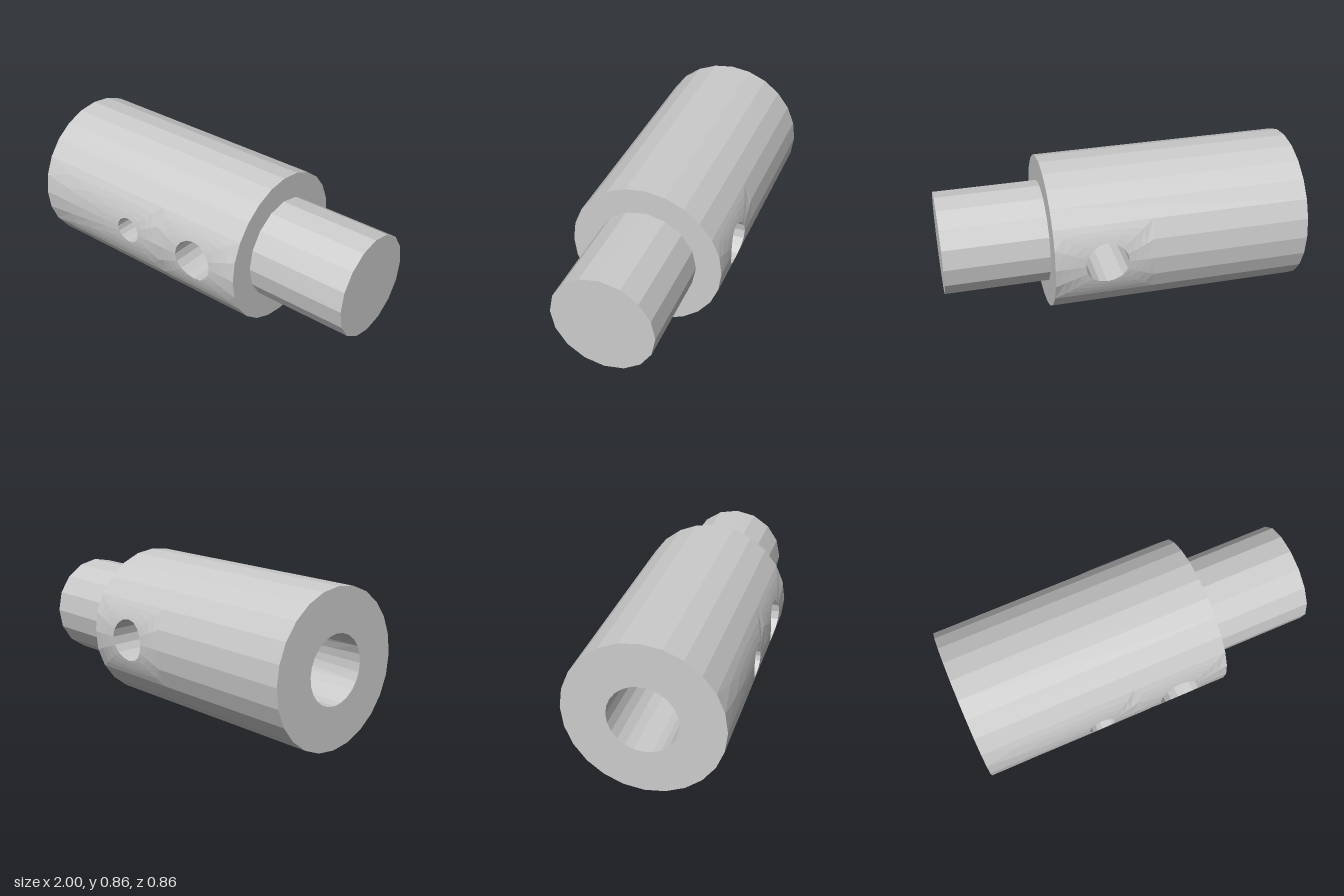
import * as THREE from 'three';

const R = 0.43, BORE = 0.19, SHAFT = 0.287;          // radii
const X0 = -1, SPLIT = -0.12, SHOULDER = 0.424, X1 = 1; // stations along the axis
const SEG = 4, N = SEG * 4;                           // patch segments per side, hole sides
const SECTOR = Math.PI / 6;                           // half angle covered by a drilled patch
const pinHole = { x: 0.14, r: 0.12 };
const screwHole = { x: -0.335, r: 0.077 };

const material = new THREE.MeshStandardMaterial({
  color: 0xcccccc, flatShading: true, side: THREE.DoubleSide,
});

// Skin between successive closed loops of points
function loft(loops) {
  const n = loops[0].length, index = [];
  for (let j = 0; j < loops.length - 1; j++) {
    for (let i = 0; i < n; i++) {
      const a = j * n + i, b = j * n + (i + 1) % n;
      index.push(a, a + n, b + n, a, b + n, b);
    }
  }
  const g = new THREE.BufferGeometry().setFromPoints(loops.flat());
  g.setIndex(index);
  g.computeVertexNormals();
  return g;
}

// Lift a flat outline onto the front of a cylinder
const wrap = (pts, radius) =>
  pts.map(p => new THREE.Vector3(p.x, p.y, Math.sqrt(Math.max(0, radius * radius - p.y * p.y))));

function holeOutline({ x, r }) {
  return Array.from({ length: N }, (_, i) => {
    const a = -Math.PI / 4 + (i / N) * Math.PI * 2;
    return new THREE.Vector2(x + r * Math.cos(a), r * Math.sin(a));
  });
}

// Border of a patch, with its ends divided like the cylinder facets
function border(xa, xb, radius) {
  return Array.from({ length: N }, (_, i) => {
    const side = Math.floor(i / SEG), t = (i % SEG) / SEG;
    const x = [xb, xb + (xa - xb) * t, xa, xa + (xb - xa) * t][side];
    const s = [2 * t - 1, 1, 1 - 2 * t, -1][side];
    return new THREE.Vector2(x, radius * Math.sin(SECTOR * s));
  });
}

// Curved wall patch pierced by a round hole
function drilledPatch(xa, xb, hole, radius, inward = false) {
  const inner = holeOutline(hole), outer = border(xa, xb, radius);
  const loops = [0, 0.2, 0.45, 0.7, 1].map(t =>
    wrap(inner.map((p, i) => p.clone().lerp(outer[i], t)), radius));
  return loft(inward ? loops.reverse() : loops);
}

// Cylinder wall along x; angle 0 is the front, increasing downwards
function barrel(radius, xa, xb, start, length, sides, open = true) {
  return new THREE.CylinderGeometry(radius, radius, xb - xa, sides, 1, open, start, length)
    .rotateZ(-Math.PI / 2).translate((xa + xb) / 2, 0, 0);
}

export function createModel() {
  const model = new THREE.Group();
  const body = new THREE.Group();
  body.name = 'coupling';
  body.position.y = R;
  model.add(body);
  const add = (name, geometry) => {
    const mesh = new THREE.Mesh(geometry, material);
    mesh.name = name;
    body.add(mesh);
    return mesh;
  };

  // Outer sleeve: plain sectors plus the drilled front and back
  add('sleeveBottom', barrel(R, X0, SHOULDER, SECTOR, SECTOR * 4, 8));
  add('sleeveTop', barrel(R, X0, SHOULDER, SECTOR * 7, SECTOR * 4, 8));
  add('sleeveBack', barrel(R, X0, SPLIT, SECTOR * 5, SECTOR * 2, 4));
  add('sleeveFrontScrewSide', drilledPatch(X0, SPLIT, screwHole, R));
  const pinSide = drilledPatch(SPLIT, SHOULDER, pinHole, R);
  add('sleeveFrontPinSide', pinSide);
  add('sleeveBackPinSide', pinSide.clone().rotateX(Math.PI));

  // Cross hole passing right through the sleeve
  const pinFront = wrap(holeOutline(pinHole), R);
  const pinBack = pinFront.map(p => new THREE.Vector3(p.x, p.y, -p.z));
  add('pinHoleWall', loft([pinBack, pinFront]));

  // Small screw hole from the front into the bore
  const screw = holeOutline(screwHole);
  add('screwHoleWall', loft([wrap(screw, BORE), wrap(screw, R)]));

  // Blind bore from the left end
  add('boreWall', barrel(BORE, X0, SPLIT, SECTOR, SECTOR * 10, 20));
  add('boreFront', drilledPatch(X0, SPLIT, screwHole, BORE, true));
  add('boreFloor', new THREE.CircleGeometry(BORE, 24)
    .rotateY(-Math.PI / 2).translate(SPLIT, 0, 0));

  // Flat annular end and shoulder
  add('boredEnd', new THREE.RingGeometry(BORE, R, 24)
    .rotateY(-Math.PI / 2).translate(X0, 0, 0));
  add('shoulder', new THREE.RingGeometry(SHAFT * 0.95, R, 24)
    .rotateY(Math.PI / 2).translate(SHOULDER, 0, 0));

  // Solid stub shaft
  add('stubShaft', barrel(SHAFT, SHOULDER, X1, 0, Math.PI * 2, 16, false));
  return model;
}
